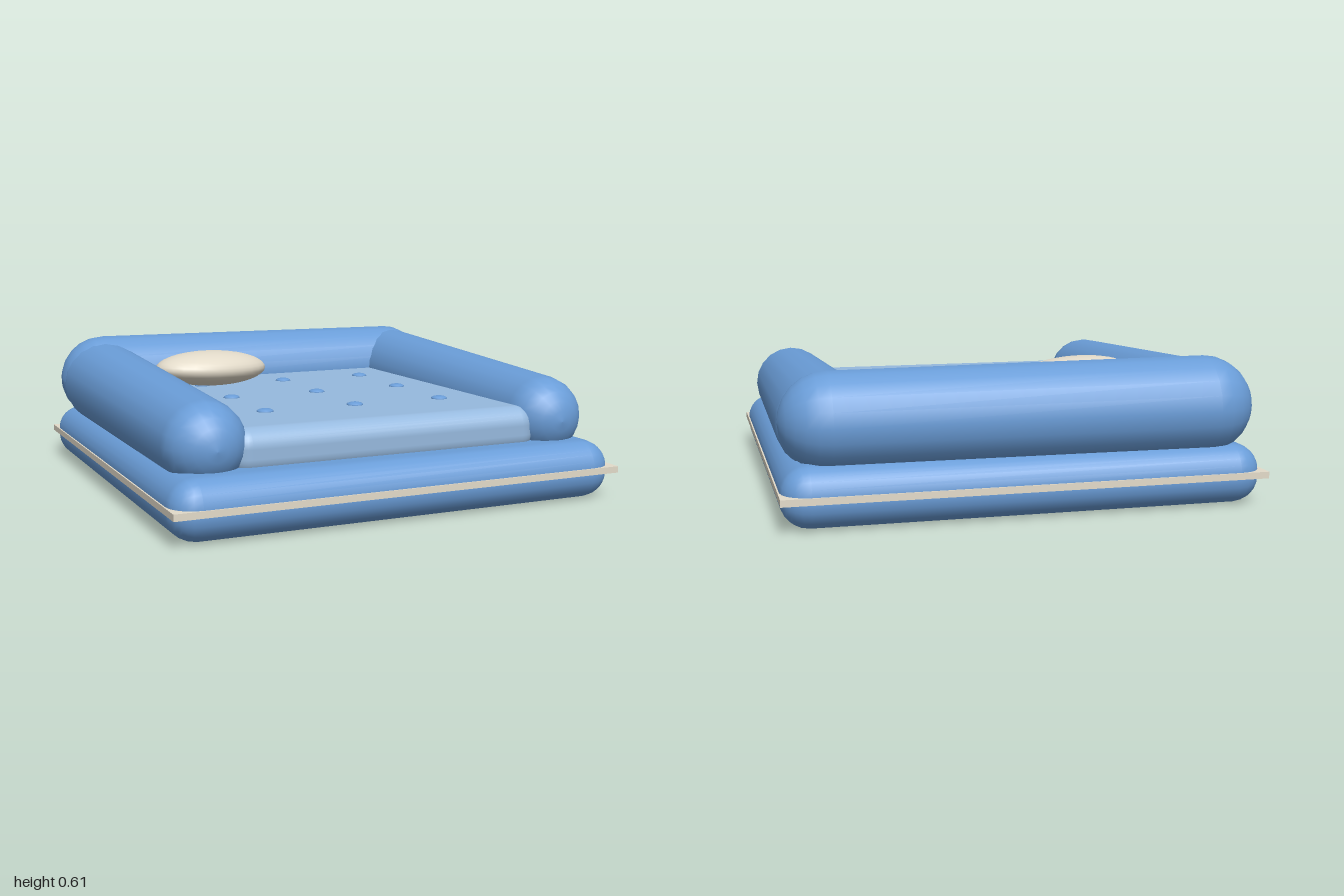
import * as THREE from 'three';
import { RoundedBoxGeometry } from 'three/addons/geometries/RoundedBoxGeometry.js';

const material = (name, color) => {
  const m = new THREE.MeshStandardMaterial({ color });
  m.name = name;
  return m;
};

export function createModel() {
  const group = new THREE.Group();
  const blue = material('blue fabric', 0x6a9dd8);
  const paleBlue = material('pale blue fabric', 0x96b9de);
  const cream = material('cream fabric', 0xe3dbca);

  const add = (name, geometry, mat, x = 0, y = 0, z = 0) => {
    const mesh = new THREE.Mesh(geometry, mat);
    mesh.name = name;
    mesh.position.set(x, y, z);
    group.add(mesh);
    return mesh;
  };

  // Tapered, round-ended bolster between two sphere centres
  const addBolster = (name, start, r0, end, r1) => {
    const a = new THREE.Vector3(...start);
    const dir = new THREE.Vector3(...end).sub(a);
    const length = dir.length();
    const steps = 6;
    const profile = [];
    for (let i = 0; i <= steps; i++) {
      const t = (i / steps) * Math.PI / 2;
      profile.push(new THREE.Vector2(r0 * Math.sin(t), -r0 * Math.cos(t)));
    }
    for (let i = 0; i <= steps; i++) {
      const t = (i / steps) * Math.PI / 2;
      profile.push(new THREE.Vector2(r1 * Math.cos(t), length + r1 * Math.sin(t)));
    }
    const mesh = add(name, new THREE.LatheGeometry(profile, 20), blue, ...start);
    mesh.quaternion.setFromUnitVectors(new THREE.Vector3(0, 1, 0), dir.normalize());
  };

  // Base mattress with square-cornered piping round its middle
  add('base', new RoundedBoxGeometry(1.99, 0.25, 1.99, 3, 0.115), blue, 0, 0.125, 0);
  add('piping', new THREE.BoxGeometry(2, 0.028, 2), cream, 0, 0.13, 0);

  // Seat cushion
  add('seatCushion', new RoundedBoxGeometry(1.4, 0.2, 1.58, 4, 0.08), paleBlue, 0, 0.3, 0.045);

  // Side and back bolsters
  for (const [name, s] of [['leftArm', 1], ['rightArm', -1]]) {
    addBolster(name, [s * 0.785, 0.34, 0.712], 0.174, [s * 0.795, 0.385, -0.72], 0.197);
  }
  addBolster('backBolster', [-0.785, 0.402, -0.79], 0.207, [0.79, 0.398, -0.785], 0.198);

  // Tufting buttons
  const buttonGeometry = new THREE.SphereGeometry(0.037, 14, 8);
  buttonGeometry.scale(1, 0.35, 1);
  for (const x of [-0.42, 0, 0.42]) {
    for (const z of [-0.34, 0.06, 0.46]) add('button', buttonGeometry, blue, x, 0.4, z);
  }

  // Loose pillow
  const pillow = add('pillow', new THREE.SphereGeometry(1, 28, 18), cream, -0.367, 0.481, -0.358);
  pillow.scale.set(0.293, 0.083, 0.178);
  pillow.rotation.set(0, 0.25, -0.04);

  return group;
}
